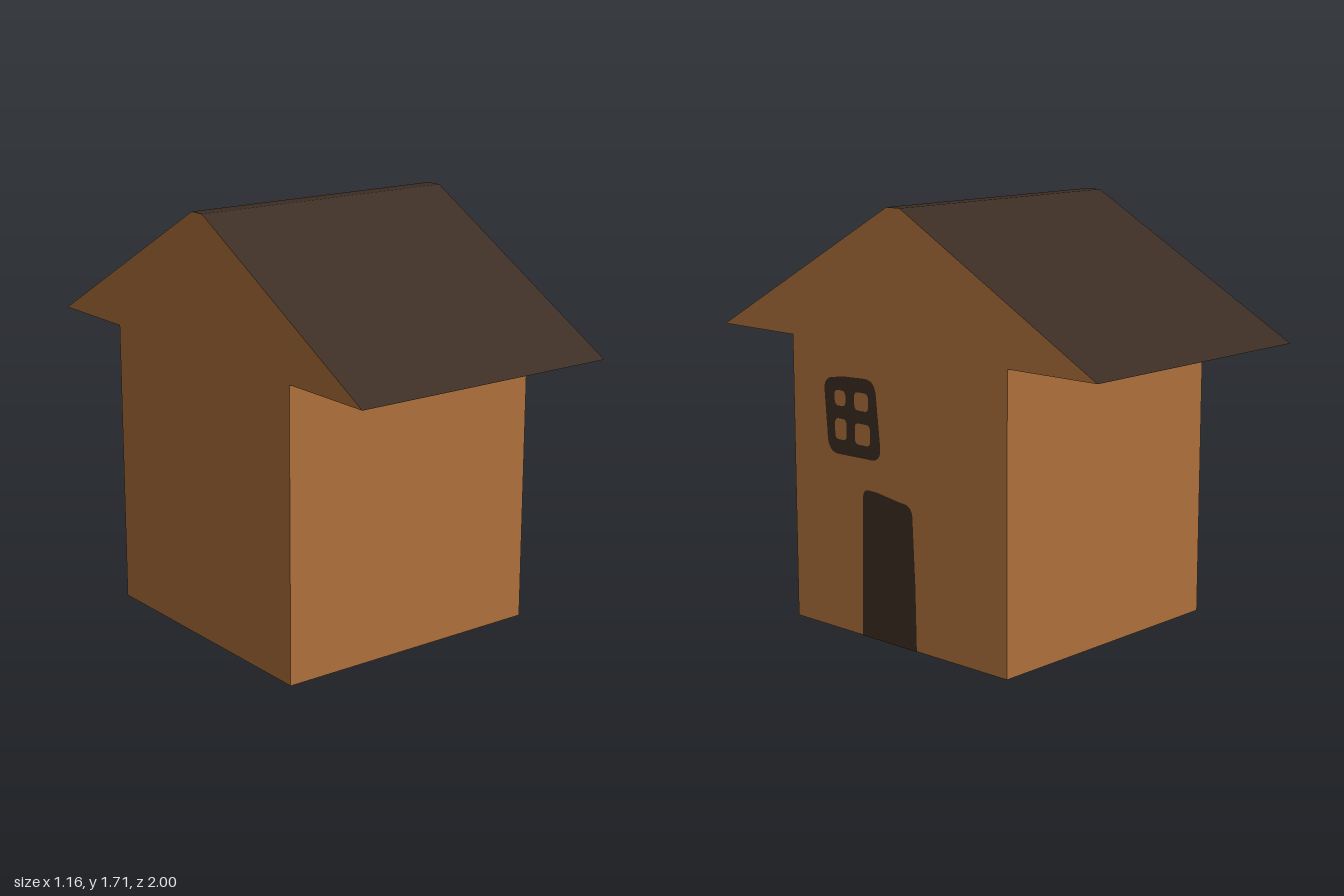
import * as THREE from 'three';

const wood = new THREE.MeshStandardMaterial({ color: 0xae703b });
wood.name = 'warm wood';
const dark = new THREE.MeshStandardMaterial({ color: 0x3b2c23 });
dark.name = 'dark brown';

const HALF = 0.58; // half the length of the house along x

// Polygon whose corners [x, y, r] are rounded by about r
function rounded(points, Type = THREE.Shape) {
  const path = new Type();
  const n = points.length;
  const toward = (p, q, r) => {
    const t = r / Math.hypot(q[0] - p[0], q[1] - p[1]);
    return [p[0] + (q[0] - p[0]) * t, p[1] + (q[1] - p[1]) * t];
  };
  points.forEach((p, i) => {
    const r = p[2] || 0;
    const a = toward(p, points[(i + n - 1) % n], r);
    const b = toward(p, points[(i + 1) % n], r);
    if (i === 0) path.moveTo(...a);
    else path.lineTo(...a);
    if (r) path.quadraticCurveTo(p[0], p[1], ...b);
  });
  path.closePath();
  return path;
}

// Flat strip running the length of the house along one profile edge
function strip([ax, ay], [bx, by]) {
  const g = new THREE.BufferGeometry();
  g.setAttribute('position', new THREE.Float32BufferAttribute([
    ax, ay, HALF, ax, ay, -HALF, bx, by, -HALF, bx, by, HALF,
  ], 3));
  g.setIndex([0, 1, 2, 0, 2, 3]);
  g.computeVertexNormals();
  return g;
}

export function createModel() {
  const model = new THREE.Group();
  model.name = 'house';
  // Drawn in the gable plane, then turned so the gables face +x and -x
  const house = new THREE.Group();
  house.name = 'houseBody';
  house.rotation.y = Math.PI / 2;
  model.add(house);

  const add = (name, geometry, material, z = 0) => {
    const mesh = new THREE.Mesh(geometry, material);
    mesh.name = name;
    mesh.position.z = z;
    house.add(mesh);
    return mesh;
  };

  // Silhouette, counter-clockwise, and the name of each edge's surface
  const profile = [
    [-0.58, 0], [0.58, 0], [0.58, 1.166], [1, 1.166],
    [0.035, 1.706], [-0.035, 1.706], [-1, 1.166], [-0.58, 1.166],
  ];
  const names = ['floor', 'backWall', 'backEave', 'backRoof',
    'roofRidge', 'frontRoof', 'frontEave', 'frontWall'];
  names.forEach((name, i) => {
    const edge = strip(profile[i], profile[(i + 1) % profile.length]);
    add(name, edge, name.includes('oof') ? dark : wood);
  });

  // Gable walls
  const gable = new THREE.ShapeGeometry(rounded(profile));
  add('leftGable', gable, wood, HALF);
  add('rightGable', gable, wood, -HALF).rotation.y = Math.PI;

  // Crooked door
  const door = rounded([
    [-0.195, 0], [0.11, 0], [0.105, 0.26], [0.09, 0.575, 0.045],
    [0.02, 0.58], [-0.1, 0.597], [-0.18, 0.6, 0.035],
  ]);
  add('door', new THREE.ShapeGeometry(door), dark, HALF + 0.003);

  // Crooked window frame with four open panes
  const frame = rounded([
    [-0.375, 0.718, 0.06], [-0.075, 0.722, 0.06],
    [-0.108, 1.04, 0.06], [-0.28, 1.033], [-0.398, 1.015, 0.05],
  ]);
  const panes = [
    [-0.305, 0.944, 0.031, 0.031], [-0.185, 0.944, 0.039, 0.036],
    [-0.303, 0.82, 0.033, 0.042], [-0.18, 0.815, 0.043, 0.042],
  ];
  for (const [x, y, w, h] of panes) {
    frame.holes.push(rounded([
      [x - w, y - h, 0.022], [x - w, y + h, 0.022],
      [x + w, y + h, 0.022], [x + w, y - h, 0.022],
    ], THREE.Path));
  }
  add('windowFrame', new THREE.ShapeGeometry(frame), dark, HALF + 0.003);

  return model;
}
